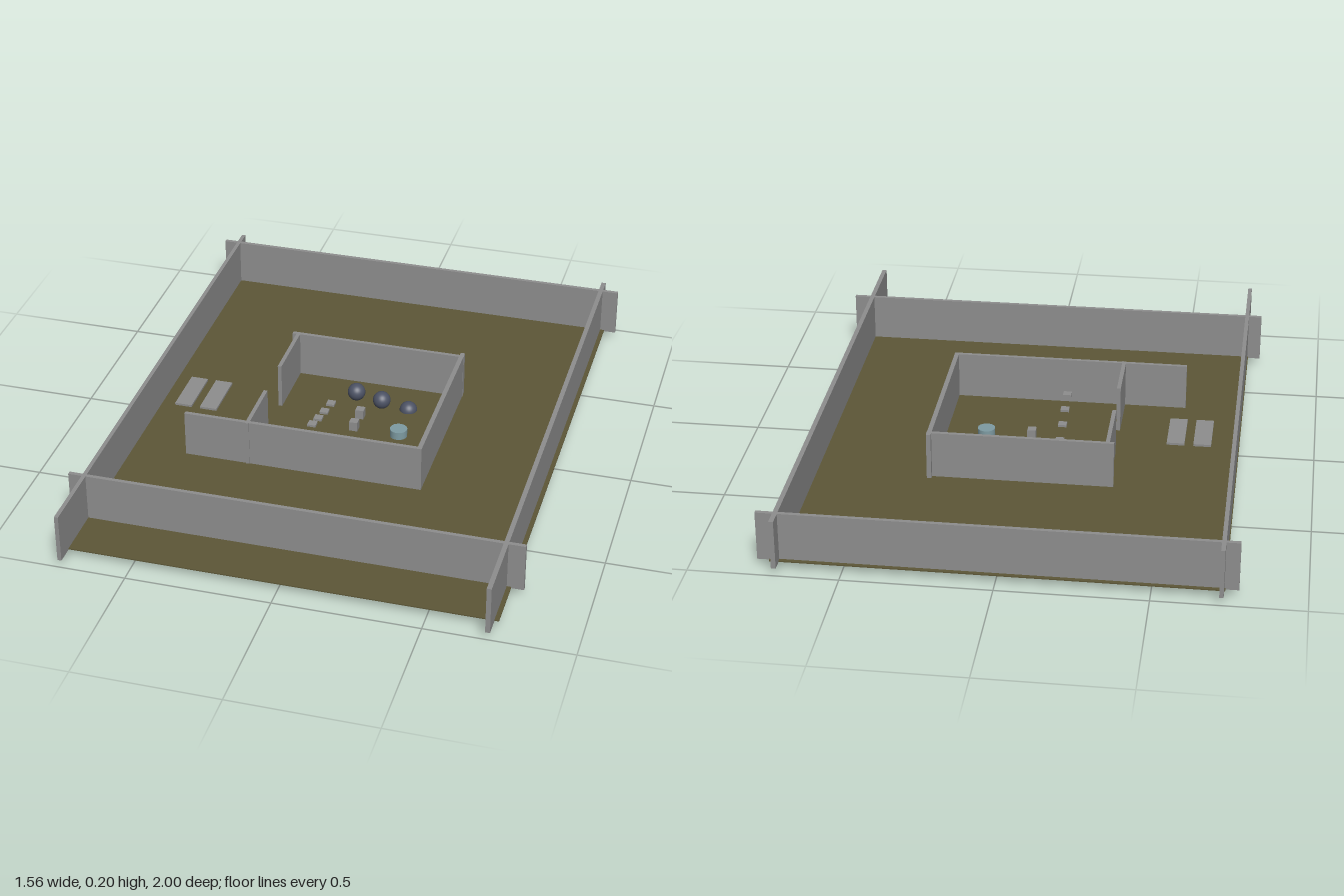
import * as THREE from 'three';

const TOP = 0.2, BASE = 0.028;

export function createModel() {
  const model = new THREE.Group();
  const grey = new THREE.MeshStandardMaterial({ color: 0x8e8e8e });
  const olive = new THREE.MeshStandardMaterial({ color: 0x5d5737 });
  const slate = new THREE.MeshStandardMaterial({ color: 0x4c5264 });
  const paleBlue = new THREE.MeshStandardMaterial({ color: 0x7e9ba2 });

  const add = (name, geometry, material, x, y, z) => {
    const mesh = new THREE.Mesh(geometry, material);
    mesh.name = name;
    mesh.position.set(x, y, z);
    model.add(mesh);
  };
  // Box given by its extents on each axis
  const box = (name, [x0, x1], [y0, y1], [z0, z1], material = grey) =>
    add(name, new THREE.BoxGeometry(x1 - x0, y1 - y0, z1 - z0), material,
      (x0 + x1) / 2, (y0 + y1) / 2, (z0 + z1) / 2);
  const wallAlongX = (name, x0, x1, z, t = 0.014) =>
    box(name, [x0, x1], [BASE, TOP], [z - t / 2, z + t / 2]);
  const wallAlongZ = (name, x, z0, z1, t = 0.014) =>
    box(name, [x - t / 2, x + t / 2], [BASE, TOP], [z0, z1]);

  // Ground
  box('ground', [-0.736, 0.736], [0.029, 0.033], [-0.96, 0.936], olive);

  // Perimeter walls, crossing at the corners
  wallAlongZ('rightOuterWall', -0.726, -1, 1);
  wallAlongZ('leftOuterWall', 0.713, -1, 1, 0.016);
  wallAlongX('backOuterWall', -0.78, 0.778, -0.94);
  wallAlongX('frontOuterWall', -0.78, 0.778, 0.746);

  // Inner room with a doorway on its right side
  wallAlongX('backRoomWall', -0.322, 0.322, -0.332);
  wallAlongX('frontRoomWall', -0.528, 0.318, 0.29);
  wallAlongZ('leftRoomWall', 0.313, -0.354, 0.297, 0.016);
  wallAlongZ('doorwayWallBack', -0.3, -0.332, -0.09);
  wallAlongZ('doorwayWallFront', -0.3, 0.078, 0.3);

  // Pair of thin bench slabs outside the doorway
  for (const x of [-0.61, -0.517])
    box('bench', [x - 0.031, x + 0.031], [0.084, 0.092], [-0.104, 0.081]);

  // Rising row of small floating steps
  [[-0.095, 0.076], [-0.01, 0.095], [0.068, 0.115], [0.143, 0.137]].forEach(([z, top]) =>
    box('floatingStep', [-0.125, -0.095], [top - 0.008, top], [z - 0.015, z + 0.015]));

  // Two small blocks set into the floor
  for (const z of [-0.095, -0.013])
    box('block', [-0.016, 0.014], [0.027, 0.068], [z - 0.015, z + 0.015]);

  // Three balls at descending heights
  [[-0.039, 0.08, -0.183], [0.056, 0.062, -0.181], [0.154, 0.032, -0.188]].forEach(p =>
    add('ball', new THREE.SphereGeometry(0.032, 32, 20), slate, ...p));

  // Low drum
  add('drum', new THREE.CylinderGeometry(0.031, 0.031, 0.04, 32), paleBlue, 0.162, 0.042, -0.014);

  return model;
}
